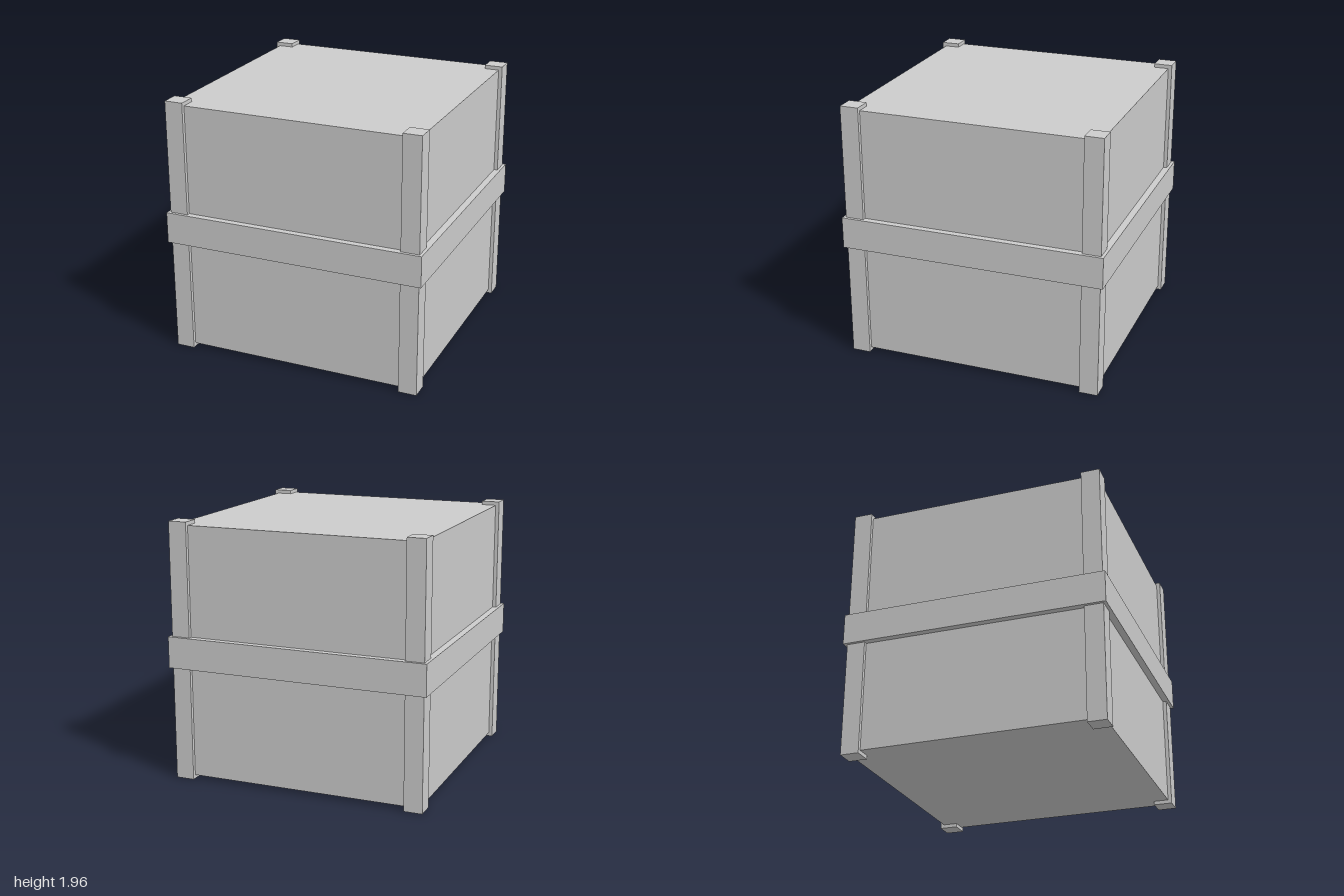
import * as THREE from 'three';

export function createModel() {
  const crate = new THREE.Group();
  crate.name = 'crate';
  const material = new THREE.MeshStandardMaterial({ color: 0xcccccc, flatShading: true });

  // Box spanning heights y0 to y1, centred on (x, z)
  const addBox = (name, width, y0, y1, x = 0, z = 0) => {
    const mesh = new THREE.Mesh(new THREE.BoxGeometry(width, y1 - y0, width), material);
    mesh.name = name;
    mesh.position.set(x, (y0 + y1) / 2, z);
    crate.add(mesh);
  };

  // Main body, raised slightly on the posts
  addBox('body', 1.898, 0.028, 1.928);

  // Band around the middle
  addBox('middleBand', 2, 0.863, 1.1);

  // Corner posts, standing proud of the body on every side
  for (const [xName, sx] of [['Left', 1], ['Right', -1]]) {
    for (const [zName, sz] of [['front', 1], ['back', -1]]) {
      addBox(`${zName}${xName}Post`, 0.14, 0, 1.956, sx * 0.907, sz * 0.907);
    }
  }

  return crate;
}
